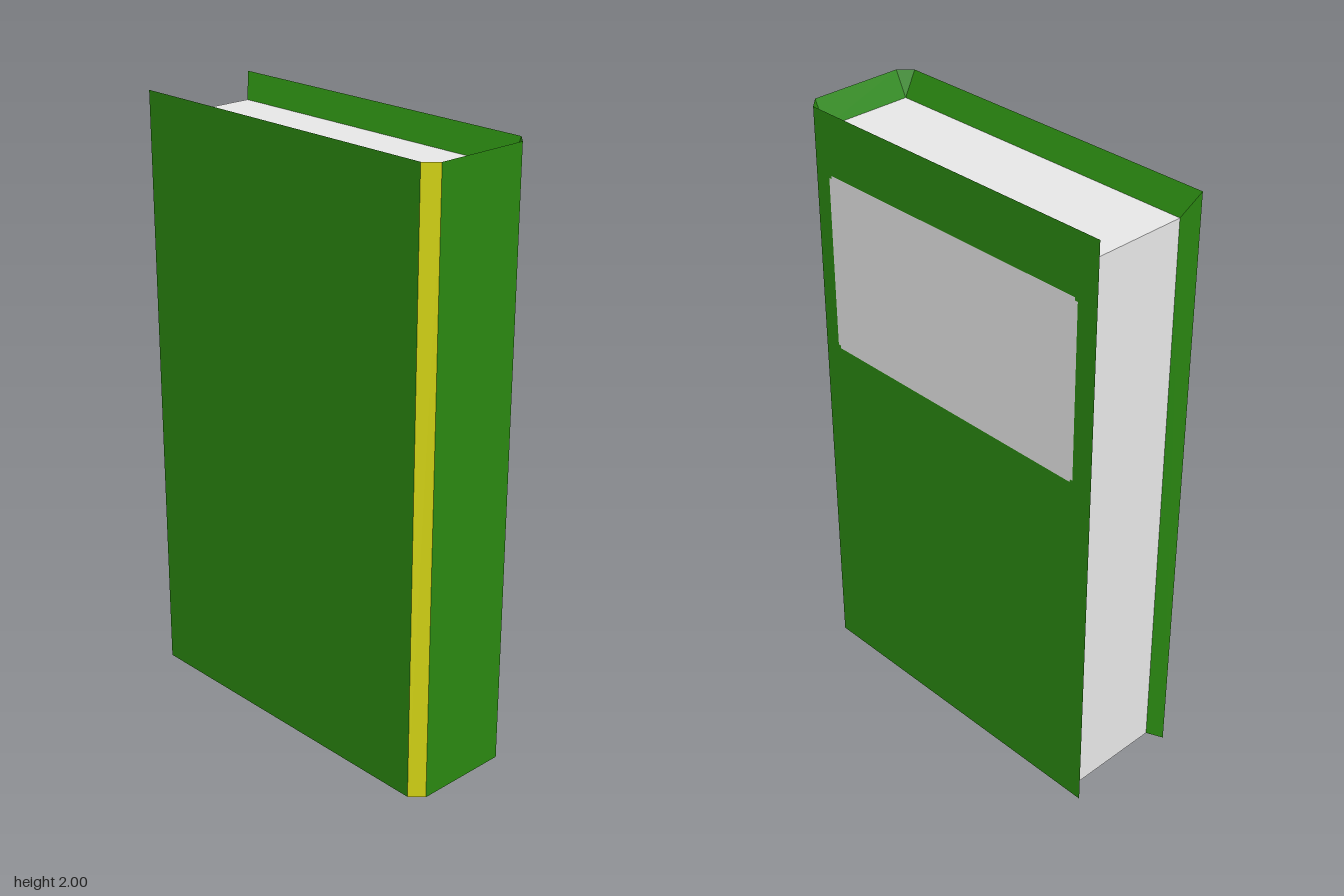
import * as THREE from 'three';

const paint = (name, color) => Object.assign(new THREE.MeshStandardMaterial({ color }), { name });

// Flat-shaded geometry from a list of quads, each four [x, y, z] corners
function quads(list) {
  const pos = list.flatMap(([a, b, c, d]) => [a, b, c, a, c, d].flat());
  const g = new THREE.BufferGeometry();
  g.setAttribute('position', new THREE.Float32BufferAttribute(pos, 3));
  g.computeVertexNormals();
  return g;
}

export function createModel() {
  const green = paint('cover green', 0x2a8811);
  const yellow = paint('spine edge yellow', 0xd5d514);
  const white = paint('paper white', 0xf2f2f2);

  const book = new THREE.Group();
  book.name = 'book';
  const add = (name, geometry, material) => {
    const m = new THREE.Mesh(geometry, material);
    m.name = name;
    book.add(m);
    return m;
  };

  const H = 2, pageBottom = 0.02, pageTop = 1.92;
  // Cover outline in (x, z), back left round the spine to back right,
  // and the matching points where it meets the page block
  const outer = [[-0.2, -0.6], [-0.2, 0.56], [-0.16, 0.6], [0.16, 0.6], [0.2, 0.56], [0.2, -0.6]];
  const inner = [[-0.16, -0.56], [-0.16, 0.56], [-0.16, 0.56], [0.16, 0.56], [0.16, 0.56], [0.16, -0.56]];
  const at = ([x, z], y) => [x, y, z];
  const wallNames = ['backCover', 'leftSpineEdge', 'spine', 'rightSpineEdge', 'frontCover'];
  const rims = [];

  // Outer walls, and the rims sloping in to the pages
  wallNames.forEach((name, i) => {
    const a = outer[i], b = outer[i + 1], c = inner[i + 1], d = inner[i];
    add(name, quads([[at(a, 0), at(b, 0), at(b, H), at(a, H)]]), i % 2 ? yellow : green);
    rims.push([at(a, H), at(b, H), at(c, pageTop), at(d, pageTop)]);
    rims.push([at(d, pageBottom), at(c, pageBottom), at(b, 0), at(a, 0)]);
  });

  // Rims on the open side, at the back
  rims.push([at(outer[0], 0), at(outer[0], H), at(inner[0], pageTop), at(inner[0], pageBottom)]);
  rims.push([at(inner[5], pageBottom), at(inner[5], pageTop), at(outer[5], H), at(outer[5], 0)]);
  add('coverRims', quads(rims), green);

  // Page block
  const pages = add('pages', new THREE.BoxGeometry(0.32, pageTop - pageBottom, 1.12), white);
  pages.position.y = (pageTop + pageBottom) / 2;

  // Label on the front cover, with tiny notched corners
  const w = 0.515, h = 0.3, n = 0.01;
  const corners = [[w, h - n], [w - n, h - n], [w - n, h]];
  const mirror = (sx, sy) => corners.map(([x, y]) => new THREE.Vector2(x * sx, y * sy));
  const shape = new THREE.Shape([
    ...mirror(1, 1), ...mirror(-1, 1).reverse(), ...mirror(-1, -1), ...mirror(1, -1).reverse(),
  ]);
  const label = add('label', new THREE.ShapeGeometry(shape), white);
  label.rotation.y = Math.PI / 2;
  label.position.set(0.202, 1.5, -0.015);

  return book;
}
